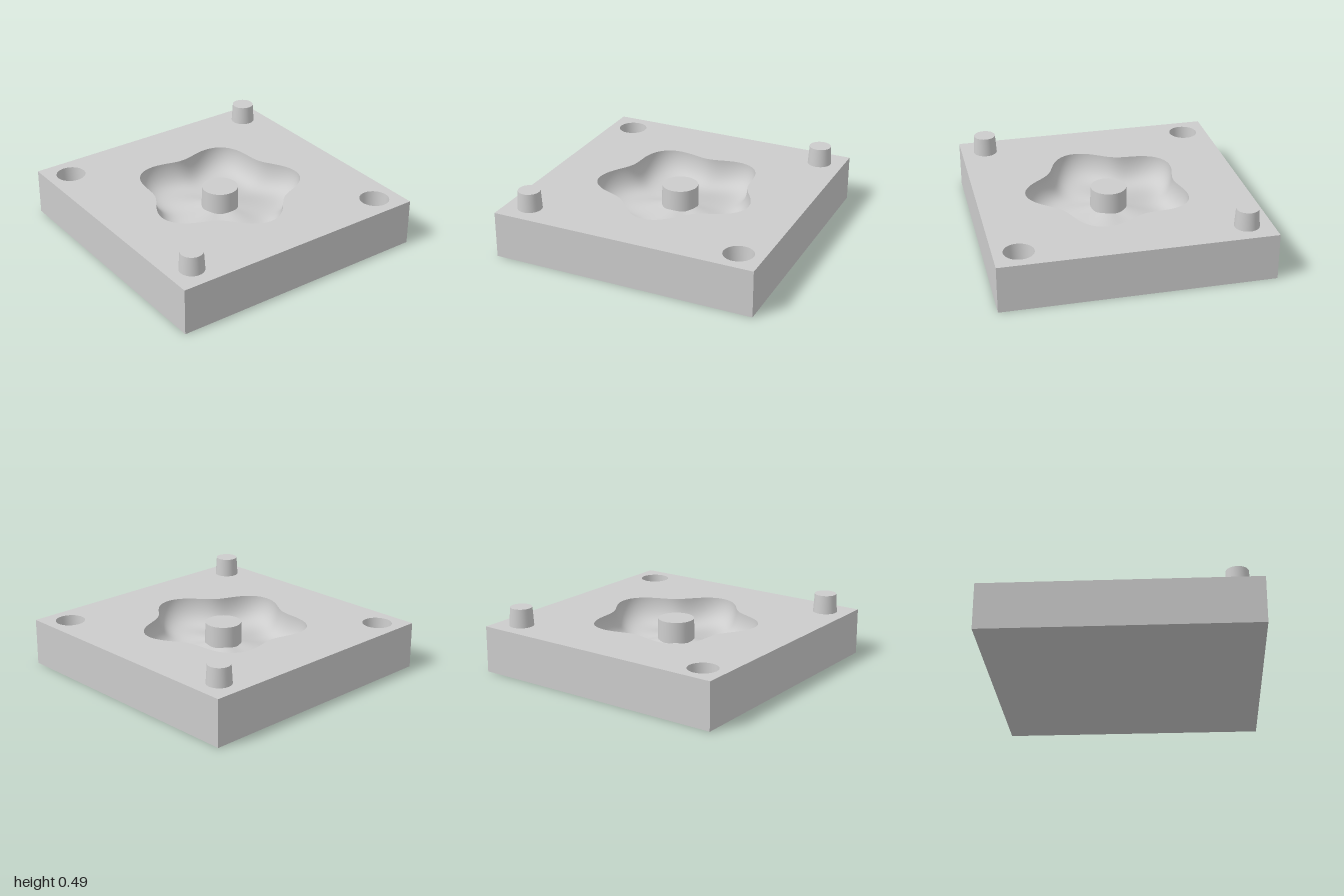
import * as THREE from 'three';
import { toCreasedNormals } from 'three/addons/utils/BufferGeometryUtils.js';

const TOP = 0.35;      // height of the block's upper face
const CORNER = 0.815;  // distance of pins and sockets from the axes
const RIM = 120;       // points around the cavity
const SIDES = 32;      // sides of pins and sockets

// Outline of the five-lobed cavity; angle 0 points to the front
const rimRadius = a => 0.567 + 0.063 * Math.cos(5 * a);

// Depth of the cavity from the middle (t = 0) to the rim (t = 1)
const depth = t => (0.13 + 0.12 * t) * Math.sqrt(Math.max(0, 1 - t ** 5));

// Closed outline as a hole in the upper face (shape y is -z)
function outline(cx, cz, radius, count) {
  const points = [];
  for (let i = 0; i < count; i++) {
    const a = (i / count) * Math.PI * 2;
    const r = radius(a);
    points.push(new THREE.Vector2(cx + r * Math.sin(a), -(cz + r * Math.cos(a))));
  }
  return new THREE.Path(points);
}

// Bowl made of scaled rim outlines, closely spaced near the steep wall
function cavityGeometry() {
  const rings = 36, start = 0.18;
  const positions = [], index = [];
  for (let j = 0; j <= rings; j++) {
    const t = start + (1 - start) * Math.sin((j / rings) * Math.PI / 2);
    for (let i = 0; i < RIM; i++) {
      const a = (i / RIM) * Math.PI * 2;
      const r = t * rimRadius(a);
      positions.push(r * Math.sin(a), TOP - depth(t), r * Math.cos(a));
    }
  }
  for (let j = 0; j < rings; j++) {
    for (let i = 0; i < RIM; i++) {
      const k = (i + 1) % RIM;
      const a = j * RIM + i, b = j * RIM + k;
      const c = a + RIM, d = b + RIM;
      index.push(a, c, b, b, c, d);
    }
  }
  const geometry = new THREE.BufferGeometry();
  geometry.setAttribute('position', new THREE.Float32BufferAttribute(positions, 3));
  geometry.setIndex(index);
  geometry.computeVertexNormals();
  return geometry;
}

export function createModel() {
  const group = new THREE.Group();
  const grey = new THREE.MeshStandardMaterial({ color: 0xcccccc });
  grey.name = 'plain grey';

  const add = (name, geometry, x = 0, y = 0, z = 0) => {
    const mesh = new THREE.Mesh(geometry, grey);
    mesh.name = name;
    mesh.position.set(x, y, z);
    group.add(mesh);
  };

  // Block sides and underside: a box without its upper face
  const box = new THREE.BoxGeometry(2, TOP, 2);
  const kept = Array.from(box.index.array);
  kept.splice(12, 6);
  box.setIndex(kept);
  box.clearGroups();
  add('block', box, 0, TOP / 2, 0);

  // Upper face, pierced for the cavity and the two sockets
  const face = new THREE.Shape();
  face.moveTo(-1, -1).lineTo(1, -1).lineTo(1, 1).lineTo(-1, 1).closePath();
  face.holes.push(outline(0, 0, rimRadius, RIM));
  for (const s of [-1, 1]) {
    face.holes.push(outline(s * CORNER, s * CORNER, () => 0.11, SIDES));
  }
  add('upperFace', new THREE.ShapeGeometry(face).rotateX(-Math.PI / 2), 0, TOP, 0);

  // Moulded cavity and its central core, level with the upper face
  add('cavity', cavityGeometry());
  add('core', new THREE.CylinderGeometry(0.135, 0.14, 0.22, SIDES), 0, TOP - 0.11, 0);

  // Alignment sockets and tapered pins on opposite diagonals
  const profile = [[0.11, 0], [0.1, -0.16], [0, -0.16]].map(p => new THREE.Vector2(...p));
  const socket = toCreasedNormals(new THREE.LatheGeometry(profile, SIDES), 0.6);
  const pin = new THREE.CylinderGeometry(0.082, 0.091, 0.14, SIDES);
  for (const s of [-1, 1]) {
    add(s < 0 ? 'backSocket' : 'frontSocket', socket, s * CORNER, TOP, s * CORNER);
    add(s < 0 ? 'frontPin' : 'backPin', pin, s * CORNER, TOP + 0.07, -s * CORNER);
  }
  return group;
}
